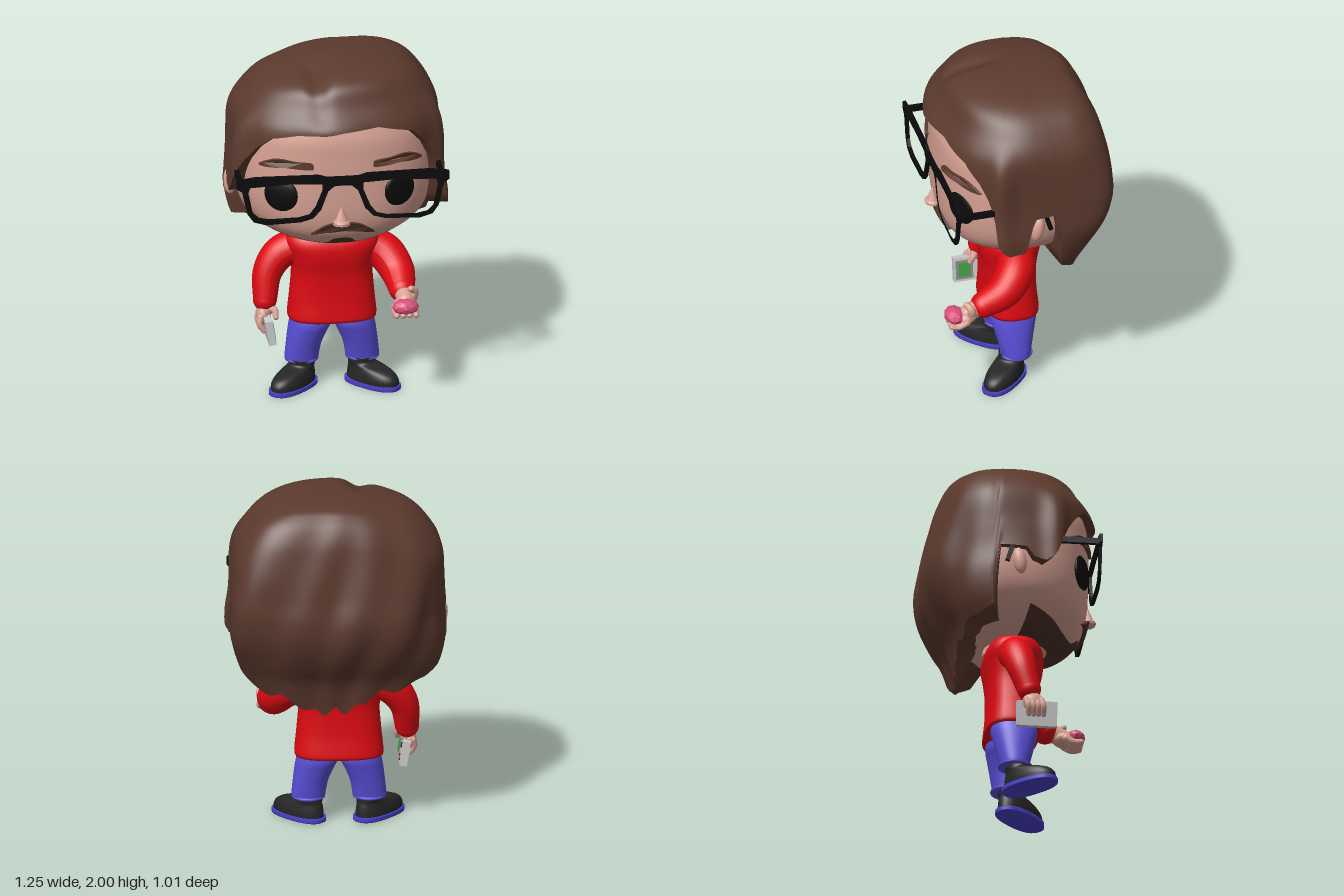
import * as THREE from 'three';
import { toCreasedNormals } from 'three/addons/utils/BufferGeometryUtils.js';

const SKIN = 0xd8a294, HAIR = 0x5c3a2e, BEARD = 0x4f3229, RED = 0xde0a12, BLUE = 0x5a4fd8, BLACK = 0x262626, INK = 0x0b0b0b;
const V = (x, y, z) => new THREE.Vector3(x, y, z);
const deg = Math.PI / 180, smooth = THREE.MathUtils.smoothstep;

function part(parent, name, geometry, color, opts = {}) {
  const m = new THREE.Mesh(geometry, new THREE.MeshStandardMaterial({ color, ...opts }));
  m.name = name;
  parent.add(m);
  return m;
}

// Smooth (or linear) lookup of column c in a table sorted by its first column
function look(table, x, c, linear = false) {
  const n = table.length - 1;
  if (x <= table[0][0]) return table[0][c];
  if (x >= table[n][0]) return table[n][c];
  let i = 0;
  while (x > table[i + 1][0]) i++;
  const [p, q] = [table[i], table[i + 1]], h = q[0] - p[0], t = (x - p[0]) / h;
  if (linear) return p[c] + (q[c] - p[c]) * t;
  const slope = k => {
    const lo = table[Math.max(k - 1, 0)], hi = table[Math.min(k + 1, n)];
    return (hi[c] - lo[c]) / (hi[0] - lo[0]);
  };
  const t2 = t * t, t3 = t2 * t;
  return (2 * t3 - 3 * t2 + 1) * p[c] + (t3 - 2 * t2 + t) * h * slope(i)
    + (3 * t2 - 2 * t3) * q[c] + (t3 - t2) * h * slope(i + 1);
}

// Surface from fn(u, v), v running upwards, optionally closed around u
function grid(fn, nu, nv, closed = true) {
  const pos = [], idx = [], w = closed ? nu : nu + 1;
  for (let j = 0; j <= nv; j++) for (let i = 0; i < w; i++) pos.push(...fn(i / nu, j / nv));
  for (let j = 0; j < nv; j++) for (let i = 0; i < nu; i++) {
    const a = j * w + i, b = j * w + (i + 1) % w;
    idx.push(a, b, b + w, a, b + w, a + w);
  }
  const g = new THREE.BufferGeometry();
  g.setAttribute('position', new THREE.Float32BufferAttribute(pos, 3));
  g.setIndex(idx);
  g.computeVertexNormals();
  return g;
}

// Superellipse radius at angle p (0 = front) for side, front and back half-widths
const radius = (p, a, f, b, nf, nb) => {
  const s = Math.sin(p), c = Math.cos(p), n = c > 0 ? nf : nb;
  return (Math.abs(s / a) ** n + Math.abs(c / (c > 0 ? f : b)) ** n) ** (-1 / n);
};

// Closed loft of rows [y, side, front, back, centreX, centreZ]
function loft(rows, nf = 2.3, nb = 2.5, nu = 48, nv = 36) {
  const y0 = rows[0][0], y1 = rows[rows.length - 1][0];
  return grid((u, v) => {
    const p = u * 2 * Math.PI, k = THREE.MathUtils.clamp((v * nv - 1) / (nv - 2), 0, 1);
    const y = y0 + (y1 - y0) * k, L = c => look(rows, y, c);
    const r = v === 0 || v === 1 ? 0.0001 : radius(p, L(1), L(2), L(3), nf, nb);
    return [(L(4) || 0) + r * Math.sin(p), y, (L(5) || 0) + r * Math.cos(p)];
  }, nu, nv);
}

// Tapered tube through points with rounded ends
function limb(parent, name, pts, radii, color, seg = 16) {
  const curve = new THREE.CatmullRomCurve3(pts.map(p => V(...p))), n = 20;
  const g = new THREE.TubeGeometry(curve, n, 1, seg), P = g.attributes.position;
  const r = t => look(radii.map((q, i) => [i / (radii.length - 1), q]), t, 1);
  for (let i = 0, q = V(); i < P.count; i++) {
    const t = Math.floor(i / (seg + 1)) / n, c = curve.getPointAt(t);
    q.fromBufferAttribute(P, i).sub(c).multiplyScalar(r(t)).add(c);
    P.setXYZ(i, q.x, q.y, q.z);
  }
  g.computeVertexNormals();
  part(parent, name, g, color);
  for (const t of [0, 1]) blob(parent, name + 'End', curve.getPointAt(t).toArray(), [r(t), r(t), r(t)], color);
}

function blob(parent, name, at, size, color) {
  const m = part(parent, name, new THREE.SphereGeometry(1, 24, 16), color);
  m.position.set(...at);
  m.scale.set(...size);
  return m;
}

const SKULL = [[.95, .15, .22, .12], [.97, .28, .33, .2], [1.03, .425, .4, .28], [1.1, .505, .435, .34], [1.2, .55, .452, .39],
  [1.35, .572, .457, .42], [1.5, .572, .457, .41], [1.65, .55, .445, .38], [1.8, .47, .37, .3], [1.9, .3, .22, .2]];
const skullR = (p, y) => radius(p, look(SKULL, y, 1), look(SKULL, y, 2), look(SKULL, y, 3), 2.3, 2.5);
const faceZ = (x, y) => look(SKULL, y, 2) * (1 - Math.min(1, Math.abs(x) / look(SKULL, y, 1)) ** 2.3) ** (1 / 2.3);

// Flat outline extruded and wrapped onto the face
function onFace(parent, name, pts, depth, color) {
  const shape = new THREE.Shape(new THREE.SplineCurve(pts.concat([pts[0]]).map(p => new THREE.Vector2(...p))).getPoints(48));
  const g = new THREE.ExtrudeGeometry(shape, { depth: depth + .02, bevelEnabled: false }), P = g.attributes.position;
  for (let i = 0; i < P.count; i++) P.setZ(i, P.getZ(i) - .02 + faceZ(P.getX(i), P.getY(i)));
  g.computeVertexNormals();
  part(parent, name, g, color);
}

function addHead(root) {
  const head = new THREE.Group();
  head.name = 'head';
  root.add(head);
  part(head, 'face', loft(SKULL, 2.3, 2.5, 64, 60), SKIN);

  // Beard hugging the jaw
  const top = [[0, 1.03], [8, 1.02], [13, .985], [38, .985], [60, 1.015], [80, 1.05]];
  part(head, 'beard', grid((u, v) => {
    const p = (u * 160 - 80) * deg, y = .948 + (look(top, Math.abs(p / deg), 1) - .948) * v, r = skullR(p, y) + .007;
    return [r * Math.sin(p), y, r * Math.cos(p)];
  }, 60, 10, false), BEARD, { side: THREE.DoubleSide });
  onFace(head, 'moustache', [[-.18, 1.065], [-.1, 1.125], [-.03, 1.138], [0, 1.128], [.03, 1.138], [.1, 1.125], [.18, 1.065],
    [.1, 1.078], [0, 1.088], [-.1, 1.078]], .025, BEARD);

  const nose = part(head, 'nose', new THREE.ConeGeometry(.05, .11, 12), SKIN);
  nose.position.set(-.012, 1.19, .463);
  nose.scale.z = .85;
  blob(head, 'noseTip', [-.012, 1.147, .463], [.048, .02, .046], SKIN);

  for (const s of [-1, 1]) {
    blob(head, 'eye', [s * .337 - .01, 1.305, .387], [.1, .1, .025], INK).rotation.y = s * 27 * deg;
    onFace(head, 'eyebrow', [[.172, 1.475], [.18, 1.508], [.27, 1.515], [.35, 1.523], [.41, 1.508], [.465, 1.468], [.4, 1.468], [.33, 1.478], [.25, 1.474]]
      .map(([x, y]) => [s * x, y]), .018, HAIR);
    blob(head, 'ear', [s * .577 - .01, 1.25, .005], [.038, .08, .038], SKIN).rotation.x = -.15;
  }

  // Hair: crown to a lower edge that varies around the head, then tucked inwards
  const shape = [[0, .001, .001, .001], [.14, .26, .22, .25], [.26, .41, .35, .33], [.42, .525, .415, .395], [.55, .59, .482, .43],
    [.71, .605, .485, .472], [.81, .605, .485, .495], [.89, .615, .485, .475], [.97, .6, .47, .41], [1.02, .57, .45, .345], [1.12, .43, .4, .285]];
  const edge = [[-180, .77], [-165, .79], [-150, .84], [-135, .9], [-118, .94], [-104, .99], [-100, 1.34], [-86, 1.33],
    [-82, 1.27], [-76, 1.25], [-71, 1.29], [-67, 1.4], [-62, 1.49], [-55, 1.58], [-46, 1.65], [-30, 1.685], [-10, 1.69], [0, 1.705], [24, 1.715], [46, 1.66],
    [56, 1.56], [63, 1.45], [66, 1.34], [68, 1.19], [73, 1.12], [82, 1.12], [87, 1.33], [99, 1.35], [103, .97], [118, .88], [140, .82], [160, .75], [180, .77]];
  const hair = grid((u, v) => {
    const d = u * 360 - 180, p = d * deg, back = smooth(Math.abs(d), 105, 130);
    const yE = look(edge, d, 1, true) + back * (.02 * Math.sin(p * 17) + .014 * Math.sin(p * 9)), w = Math.min((1 - v) / .85, 1);
    const k = Math.max(0, (.15 - v) / .15), t = w * Math.sqrt(2 - yE);
    const nb = d > 0 ? 6 - 3 * smooth(t, .75, 1) : 2.6;
    let y = 2 - t * t, r = radius(p, look(shape, t, 1), look(shape, t, 2), look(shape, t, 3), 2.2, nb);
    r *= 1 + Math.min(t, .8) * (.014 * Math.sin(7 * p + 5 * y) + .022 * back * Math.sin(11 * p - 7 * y) + .014 * Math.sin(4 * p - 9 * y));
    // Side locks standing off the face, and a lip over the forehead
    r += .052 * Math.exp(-(((Math.abs(d) - 69) / 7) ** 2)) * smooth(t, .4, .7);
    r += .015 * Math.exp(-((d / 20) ** 2)) * smooth(t, .45, .55);
    r *= 1 - .45 * k;
    y += Math.max(0, .99 - yE) * k;
    const x = r * Math.sin(p), z = r * Math.cos(p);
    // Parting, with the right half a little lower
    y -= (1 - k) * (1 - w * w) * (.04 * Math.exp(-(((x + .13) / .06) ** 2)) * smooth(z, -.05, .2) + .035 * smooth(-x, -.05, .35));
    return [x, y, z];
  }, 180, 60);
  part(head, 'hair', toCreasedNormals(hair, 1), HAIR, { side: THREE.DoubleSide });
}

function addGlasses(root) {
  const g = new THREE.Group();
  g.name = 'glasses';
  root.add(g);
  const half = [[0, 1.43], [.09, 1.43], [.14, 1.445], [.5, 1.45], [.605, 1.435], [.605, 1.385], [.575, 1.365], [.545, 1.23], [.51, 1.18],
    [.44, 1.158], [.24, 1.165], [.17, 1.185], [.125, 1.235], [.085, 1.345], [.05, 1.375], [0, 1.378]];
  const lens = [[.115, 1.39], [.3, 1.4], [.53, 1.39], [.54, 1.36], [.515, 1.235], [.48, 1.2], [.42, 1.187], [.25, 1.19], [.19, 1.205], [.155, 1.25], [.115, 1.35]];
  const mirror = s => p => new THREE.Vector2(s * p[0], p[1]);
  const frame = new THREE.Shape([...half.map(mirror(1)), ...half.slice(1, -1).reverse().map(mirror(-1))]);
  for (const s of [-1, 1]) frame.holes.push(new THREE.Path(lens.map(mirror(s))));
  part(g, 'frame', new THREE.ExtrudeGeometry(frame, { depth: .018, bevelEnabled: false }), INK).position.set(-.005, 0, .456);
  for (const s of [-1, 1]) {
    const arm = part(g, 'temple', new THREE.BoxGeometry(.024, .034, .5), INK);
    arm.position.set(s * .573 - .008, 1.397, .215);
    const hook = part(g, 'templeTip', new THREE.BoxGeometry(.024, .14, .026), INK);
    hook.position.set(s * .588, 1.315, -.045);
    hook.rotation.x = .3;
  }
}

function addBody(root) {
  part(root, 'sweater', loft([[.41, .25, .162, .15], [.43, .252, .162, .15], [.55, .24, .155, .138], [.7, .23, .16, .138], [.8, .245, .18, .15],
    [.88, .27, .18, .158], [.94, .245, .15, .125], [.97, .15, .1, .08]].map(r => [...r, -.01, .02]), 2.8, 2.8), RED);
  part(root, 'neck', new THREE.CylinderGeometry(.14, .16, .12, 24), SKIN).position.set(0, .97, .02);

  for (const s of [-1, 1]) {
    part(root, 'trouserLeg', loft([[.145, .094, .08, .08, s * .173, .025], [.16, .096, .083, .083, s * .173, .025], [.25, .1, .105, .1, s * .16, .025],
      [.33, .112, .125, .118, s * .138, .025], [.38, .119, .138, .126, s * .122, .022], [.44, .112, .13, .12, s * .115, .02]], 2.2, 2.2), BLUE).position.x = -.01;
    const cuff = part(root, 'trouserCuff', new THREE.TorusGeometry(.087, .009, 8, 36), BLUE);
    cuff.rotation.x = Math.PI / 2;
    cuff.position.set(s * .173 - .01, .152, .025);

    // Splayed boot on a flat sole
    const boot = new THREE.Group();
    boot.name = 'boot';
    boot.position.set(s * .222 - .014, 0, .1);
    boot.rotation.y = s * 45 * deg;
    root.add(boot);
    part(boot, 'sole', loft([[0, .088, .187, .174], [.026, .088, .187, .174]], 2.5, 2.5, 48, 6), 0x4a40c8);
    part(boot, 'bootUpper', loft([[.024, .082, .179, .164], [.055, .082, .176, .162], [.085, .077, .15, .158], [.105, .072, .1, .153],
      [.125, .07, .01, .15], [.16, .07, .002, .15]].map(([y, a, f, b]) => [y, a, (f + b) / 2, (f + b) / 2, 0, (f - b) / 2]), 2.2, 2.2), BLACK);
  }
}

function addArms(root) {
  // Right arm hanging, holding the handheld device
  limb(root, 'rightSleeve', [[-.2, .84, .02], [-.305, .795, .02], [-.378, .69, .04], [-.398, .54, .08]], [.1, .095, .082, .068], RED, 24);
  limb(root, 'rightWrist', [[-.4, .55, .08], [-.402, .48, .095]], [.045, .045], SKIN);
  blob(root, 'rightPalm', [-.415, .455, .1], [.037, .06, .058], SKIN);
  for (let i = 0; i < 4; i++) {
    const z = .062 + i * .028;
    limb(root, 'rightFinger', [[-.43, .46, z], [-.438, .42, z + .01], [-.415, .38, z + .015]], [.019, .018, .015], SKIN, 10);
  }
  limb(root, 'rightThumb', [[-.39, .5, .11], [-.35, .49, .13], [-.345, .455, .15]], [.024, .02, .016], SKIN, 10);

  const device = new THREE.Group();
  device.name = 'handheldDevice';
  device.position.set(-.385, .392, .125);
  device.rotation.z = .16;
  root.add(device);
  part(device, 'deviceCase', new THREE.BoxGeometry(.042, .145, .23), 0xbcbcbc);
  part(device, 'screenSurround', new THREE.BoxGeometry(.006, .115, .1), 0x8c8c8c).position.set(.021, 0, .055);
  part(device, 'screen', new THREE.BoxGeometry(.006, .085, .07), 0x45a045).position.set(.023, 0, .055);
  for (const [y, z, c] of [[.04, -.04, BLACK], [.025, -.04, BLACK], [-.03, -.035, 0x8a2030], [-.045, -.055, 0x8a2030]]) {
    const b = part(device, 'deviceButton', new THREE.CylinderGeometry(.009, .009, .01, 12), c);
    b.rotation.z = Math.PI / 2;
    b.position.set(.022, y, z - .015);
  }

  // Left arm bent forwards, palm up with a pink lump
  limb(root, 'leftSleeve', [[.19, .83, .03], [.285, .785, .06], [.345, .705, .14], [.358, .64, .265]], [.105, .107, .097, .076], RED, 24);
  limb(root, 'leftWrist', [[.36, .64, .28], [.365, .605, .36]], [.053, .05], SKIN);
  blob(root, 'leftPalm', [.36, .588, .375], [.07, .04, .065], SKIN);
  for (let i = 0; i < 4; i++) {
    const x = .302 + i * .037;
    limb(root, 'leftFinger', [[x, .575, .38], [x, .553, .425], [x, .558, .465]], [.023, .021, .017], SKIN, 10);
  }
  limb(root, 'leftThumb', [[.405, .61, .345], [.418, .66, .355], [.395, .682, .375]], [.028, .024, .018], SKIN, 10);
  const lump = part(root, 'pinkLump', new THREE.IcosahedronGeometry(1, 1), 0xd8507a, { flatShading: true });
  lump.position.set(.355, .6, .437);
  lump.scale.set(.077, .045, .057);
}

export function createModel() {
  const root = new THREE.Group();
  root.name = 'figure';
  addHead(root);
  addGlasses(root);
  addBody(root);
  addArms(root);
  return root;
}
